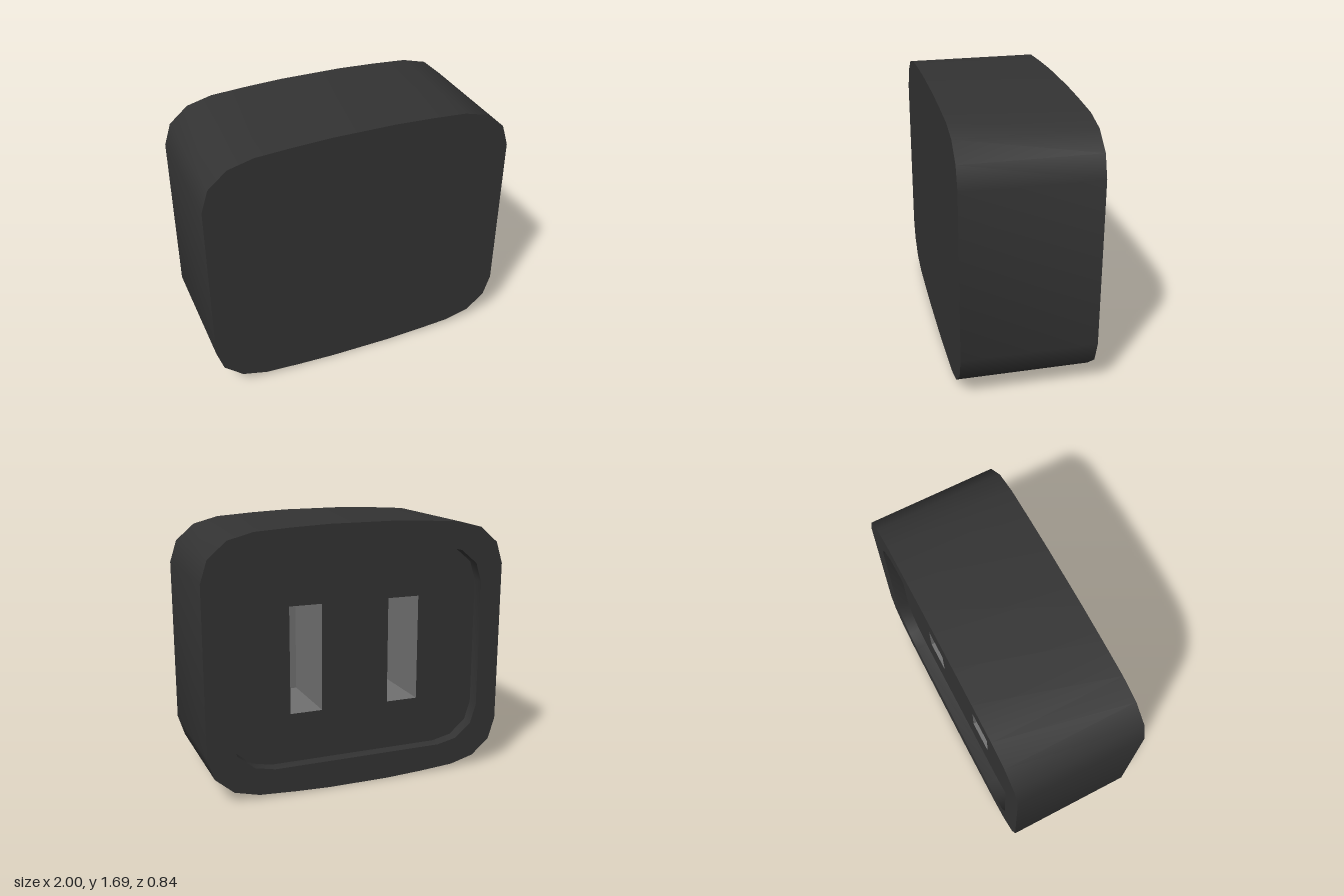
import * as THREE from 'three';
import { toCreasedNormals } from 'three/addons/utils/BufferGeometryUtils.js';

const MID = 0.845;        // height of the centre line
const HALF = 0.42;        // half the depth of the body
const FLOOR = -0.34;      // z of the recessed back panel
const SLOT_END = 0.16;    // z where the slots stop

const bodyMaterial = new THREE.MeshStandardMaterial({ color: 0x333333 });
const slotMaterial = new THREE.MeshStandardMaterial({ color: 0x707070 });

// Mirror a quarter outline (right side up to the top) into a closed counter-clockwise loop
function outline(quarter) {
  const flip = (sx, sy) => quarter.map(([x, y]) => new THREE.Vector2(sx * x, MID + sy * y));
  return [...flip(1, 1), ...flip(-1, 1).reverse(), ...flip(-1, -1), ...flip(1, -1).reverse()];
}

// Band of quads along a loop between two depths; a reversed loop faces inward
function wall(loop, z0, z1) {
  const position = [];
  loop.forEach((a, i) => {
    const b = loop[(i + 1) % loop.length];
    position.push(a.x, a.y, z0, b.x, b.y, z0, b.x, b.y, z1);
    position.push(a.x, a.y, z0, b.x, b.y, z1, a.x, a.y, z1);
  });
  const geometry = new THREE.BufferGeometry();
  geometry.setAttribute('position', new THREE.Float32BufferAttribute(position, 3));
  return toCreasedNormals(geometry, THREE.MathUtils.degToRad(40));
}

// Flat panel with holes; facing is 1 for the front, -1 for the back
function panel(loop, holes, z, facing) {
  const shape = new THREE.Shape(loop);
  shape.holes = holes.map((hole) => new THREE.Path(hole));
  const geometry = new THREE.ShapeGeometry(shape);
  if (facing < 0) geometry.rotateY(Math.PI);
  return geometry.translate(0, 0, z);
}

export function createModel() {
  const group = new THREE.Group();
  const add = (name, geometry, material = bodyMaterial) => {
    const mesh = new THREE.Mesh(geometry, material);
    mesh.name = name;
    group.add(mesh);
  };

  const outer = outline([
    [1, 0.535], [0.955, 0.675], [0.835, 0.778], [0.675, 0.82], [0.44, 0.835], [0.2, 0.845],
  ]);
  const inner = outline([[0.85, 0.42], [0.81, 0.545], [0.7, 0.637], [0.57, 0.665]]);
  const slots = [1, -1].map((side) => outline([[0.106, 0.345]])
    .map((p) => new THREE.Vector2(p.x + side * 0.332, p.y)));

  // Outer casing
  add('casingSides', wall(outer, -HALF, HALF));
  add('frontFace', panel(outer, [], HALF, 1));

  // Back rim and recessed panel
  add('backRim', panel(outer, [inner], -HALF, -1));
  add('recessWall', wall([...inner].reverse(), -HALF, FLOOR));
  add('recessPanel', panel(inner, slots, FLOOR, -1));

  // Two deep slots
  slots.forEach((slot, i) => {
    const name = i === 0 ? 'leftSlot' : 'rightSlot';
    add(name + 'Walls', wall([...slot].reverse(), FLOOR, SLOT_END), slotMaterial);
    // The end panel is turned to the back, so it takes the mirrored loop
    add(name + 'End', panel(slots[1 - i], [], SLOT_END, -1), slotMaterial);
  });

  return group;
}
